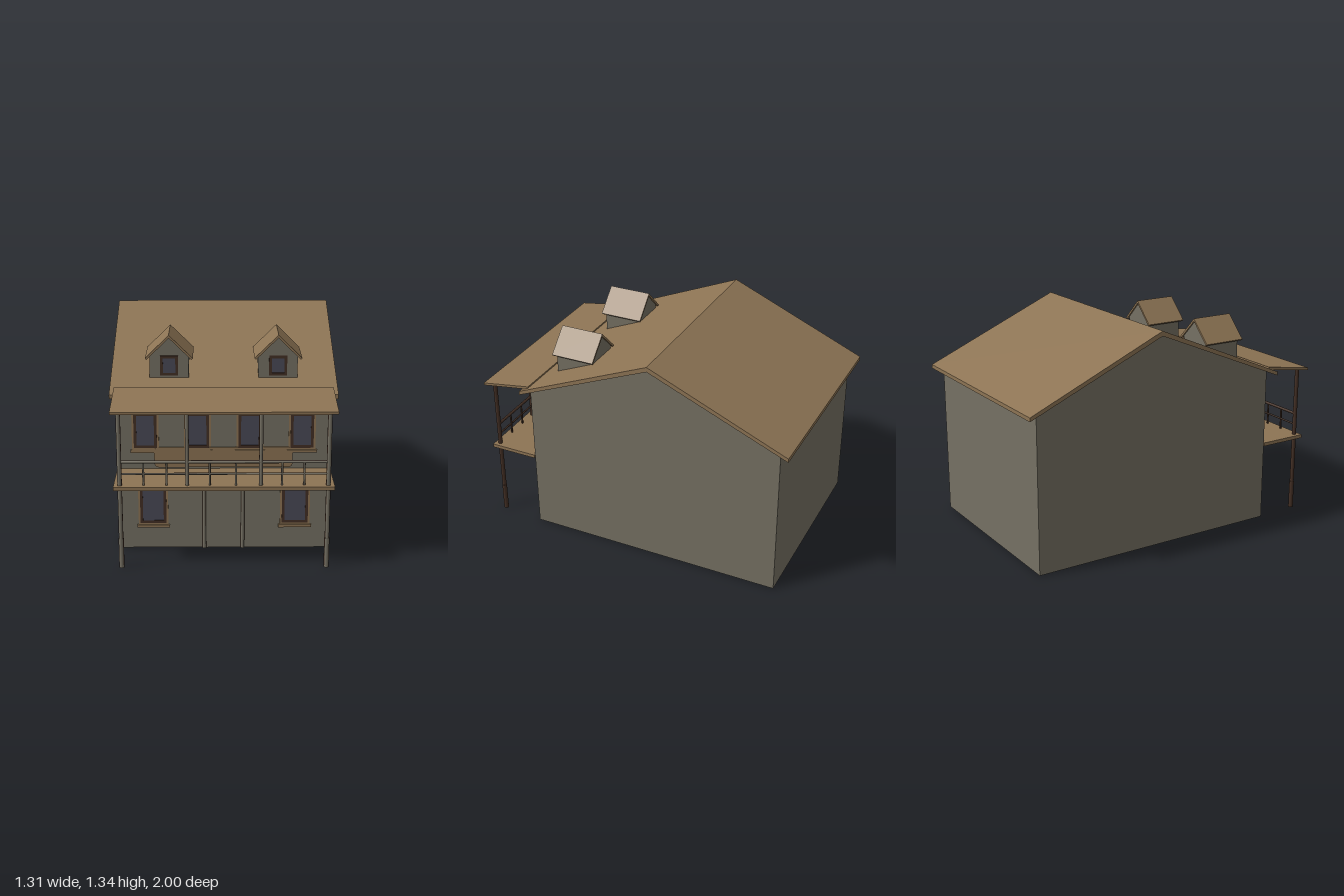
import * as THREE from 'three';

const mat = (name, color) => {
  const m = new THREE.MeshStandardMaterial({ color });
  m.name = name;
  return m;
};

export function createModel() {
  const house = new THREE.Group();
  house.name = 'house';
  const wall = mat('grey wall', 0x757063);
  const wood = mat('weathered wood', 0x8d7454);
  const trim = mat('dark trim', 0x432f24);
  const glass = mat('window glass', 0x494957);

  const add = (name, geometry, material, parent = house) => {
    const mesh = new THREE.Mesh(geometry, material);
    mesh.name = name;
    parent.add(mesh);
    return mesh;
  };
  // Box given by its limits on each axis
  const box = (name, x0, x1, y0, y1, z0, z1, material, parent) => {
    const m = add(name, new THREE.BoxGeometry(x1 - x0, y1 - y0, z1 - z0), material, parent);
    m.position.set((x0 + x1) / 2, (y0 + y1) / 2, (z0 + z1) / 2);
    return m;
  };
  const polygon = pts => new THREE.Shape(pts.map(([a, b]) => new THREE.Vector2(a, b)));
  const extrude = (shape, depth) =>
    new THREE.ExtrudeGeometry(shape, { depth, bevelEnabled: false, curveSegments: 6 });
  // Profile in (z, y) run along x, centred
  const alongX = (pts, halfWidth) =>
    extrude(polygon(pts), halfWidth * 2).rotateY(-Math.PI / 2).translate(halfWidth, 0, 0);
  // Round bar: grey face to the front, dark sides and back
  const bar = (name, r, length) => {
    const g = new THREE.Group();
    g.name = name;
    house.add(g);
    const a = Math.PI * 0.27;
    add('barFront', new THREE.CylinderGeometry(r, r, length, 4, 1, false, -a, 2 * a), wall, g);
    add('barBack', new THREE.CylinderGeometry(r, r, length, 10, 1, false, a, 2 * (Math.PI - a)), trim, g);
    return g;
  };
  const rod = (name, x, y0, y1, z, r) => bar(name, r, y1 - y0).position.set(x, (y0 + y1) / 2, z);
  // Board with rounded corners
  const board = (name, x0, x1, y0, y1, r, z, depth) => {
    const s = new THREE.Shape();
    s.moveTo(x0 + r, y0);
    s.lineTo(x1 - r, y0).quadraticCurveTo(x1, y0, x1, y0 + r);
    s.lineTo(x1, y1 - r).quadraticCurveTo(x1, y1, x1 - r, y1);
    s.lineTo(x0 + r, y1).quadraticCurveTo(x0, y1, x0, y1 - r);
    s.lineTo(x0, y0 + r).quadraticCurveTo(x0, y0, x0 + r, y0);
    add(name, extrude(s, depth), wood).position.z = z;
  };

  // Main body and gable roof
  const front = 0.675;
  add('walls', alongX([[front, 0], [front, 0.967], [-0.135, 1.31], [-0.94, 0.967], [-0.94, 0]].reverse(), 0.613), wall);
  add('mainRoof', alongX([[0.73, 0.942], [0.73, 0.966], [-0.135, 1.335], [-1, 0.966],
    [-1, 0.942], [-0.135, 1.305]].reverse(), 0.654), wood);

  // Pane, dark sash and optional wooden casing
  const windowUnit = (name, x, y0, y1, w, z, cased) => {
    const g = new THREE.Group();
    g.name = name;
    house.add(g);
    const h = w / 2;
    if (cased) {
      const c = h + 0.019;
      box('casing', x - c, x + c, y0 - 0.025, y1 + 0.02, z, z + 0.007, wood, g);
      box('sill', x - c - 0.009, x + c + 0.009, y0 - 0.037, y0 - 0.02, z, z + 0.014, wood, g);
      box('cap', x - c - 0.003, x + c + 0.003, y1 + 0.015, y1 + 0.026, z, z + 0.012, wood, g);
    }
    const f = z + (cased ? 0.007 : 0);
    box('pane', x - h, x + h, y0, y1, f, f + 0.002, glass, g);
    for (const s of [-1, 1]) {
      const sx = x + s * h, sy = s < 0 ? y0 : y1;
      box('sashSide', sx - 0.008, sx + 0.008, y0 - 0.008, y1 + 0.008, f, f + 0.005, trim, g);
      box('sashRail', x - h, x + h, sy - 0.008, sy + 0.008, f, f + 0.005, trim, g);
    }
  };
  for (const x of [-0.416, 0.421]) windowUnit('lowerWindow', x, 0.17, 0.385, 0.138, front, true);
  for (const x of [-0.455, -0.152, 0.152, 0.455])
    windowUnit('upperWindow', x, 0.64, 0.835, 0.118, front, true);

  // Doorway
  box('door', -0.105, 0.102, 0, 0.392, front, front + 0.003, wall);
  for (const x of [-0.115, 0.112]) rod('doorJamb', x, 0, 0.395, front + 0.003, 0.011);
  board('doorHeader', -0.138, 0.135, 0.39, 0.43, 0.013, front, 0.016);

  // Blank wooden board above the balcony
  board('wallBoard', -0.405, 0.402, 0.512, 0.635, 0.03, front, 0.009);

  // Balcony and sloping porch roof
  const pz = 0.947;
  box('balconyDeck', -0.622, 0.622, 0.48, 0.502, front, 0.98, wood);
  add('porchRoof', alongX([[1, 0.932], [1, 0.947], [0.68, 0.997], [0.68, 0.98]].reverse(), 0.629), wood);
  for (const x of [-0.587, 0.587]) {
    rod('cornerPost', x, 0.18, 0.944, pz, 0.013);
    rod('postBase', x, 0, 0.18, pz, 0.015);
  }
  for (const x of [-0.207, 0.207]) rod('balconyPost', x, 0.5, 0.944, pz, 0.011);
  for (const x of [-0.453, -0.323, -0.08, 0.067, 0.326, 0.451]) rod('baluster', x, 0.5, 0.64, pz, 0.006);
  for (const [y, r] of [[0.641, 0.009], [0.57, 0.006]]) {
    const rail = bar('handrail', r, 1.174);
    rail.rotation.z = Math.PI / 2;
    rail.position.set(0, y, pz);
  }

  // Dormers
  for (const x of [-0.315, 0.315]) {
    const body = add('dormerWalls', extrude(polygon([[-0.113, 1.0], [0.113, 1.0], [0.113, 1.155],
      [0, 1.27], [-0.113, 1.155]]), 0.245), wall);
    body.position.set(x, 0, 0.34);
    const roof = add('dormerRoof', extrude(polygon([[0.138, 1.148], [0, 1.285], [-0.138, 1.148],
      [-0.129, 1.139], [0, 1.268], [0.129, 1.139]]), 0.275), wood);
    roof.position.set(x, 0, 0.33);
    windowUnit('dormerWindow', x, 1.049, 1.152, 0.088, 0.585, false);
  }
  return house;
}
